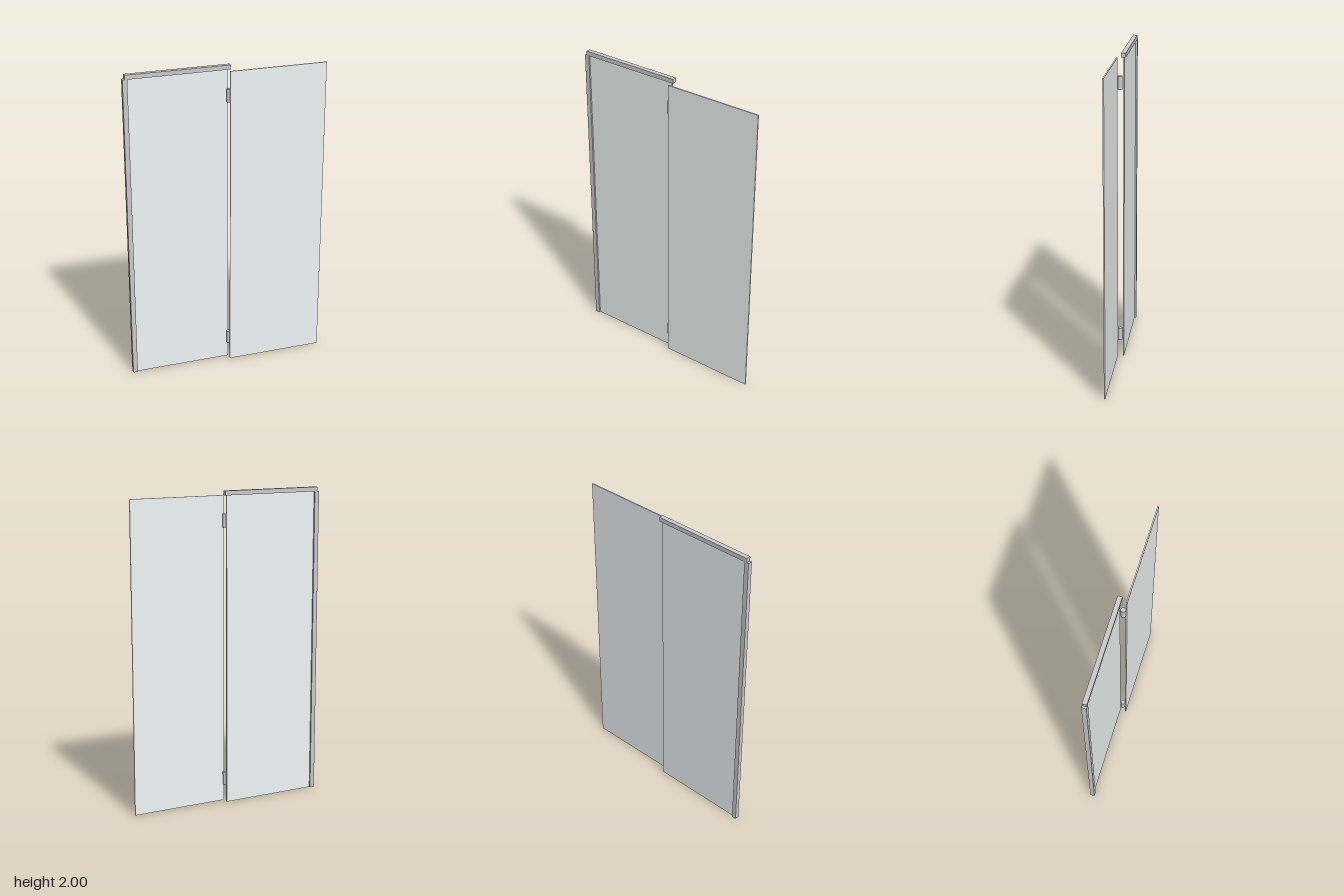
import * as THREE from 'three';

const frameMaterial = new THREE.MeshStandardMaterial({ color: 0xebebeb });
const glassMaterial = new THREE.MeshStandardMaterial({ color: 0xf0f7f6 });

// Box given by its extents on each axis
function slab(name, material, [x0, x1], [y0, y1], [z0, z1]) {
  const mesh = new THREE.Mesh(new THREE.BoxGeometry(x1 - x0, y1 - y0, z1 - z0), material);
  mesh.position.set((x0 + x1) / 2, (y0 + y1) / 2, (z0 + z1) / 2);
  mesh.name = name;
  return mesh;
}

// Round hinge barrel joining the two panels
function hinge(name, y) {
  const mesh = new THREE.Mesh(new THREE.CylinderGeometry(0.0148, 0.0148, 0.083, 32), frameMaterial);
  mesh.position.set(0.014, y, 0.0065);
  mesh.name = name;
  return mesh;
}

export function createModel() {
  const group = new THREE.Group();
  group.name = 'hingedGlassScreen';
  const frameZ = [-0.031, -0.002];

  // Fixed side: wall profile, glass and top rail
  group.add(slab('wallProfile', frameMaterial, [-0.637, -0.607], [0, 1.972], frameZ));
  group.add(slab('fixedPanel', glassMaterial, [-0.607, 0.015], [0, 1.972], [-0.02, -0.012]));
  group.add(slab('topRail', frameMaterial, [-0.624, 0.029], [1.972, 2], frameZ));

  // Swinging side
  group.add(slab('doorPanel', glassMaterial, [0.015, 0.637], [0, 1.97], [0.021, 0.029]));
  group.add(hinge('lowerHinge', 0.155));
  group.add(hinge('upperHinge', 1.816));
  return group;
}
